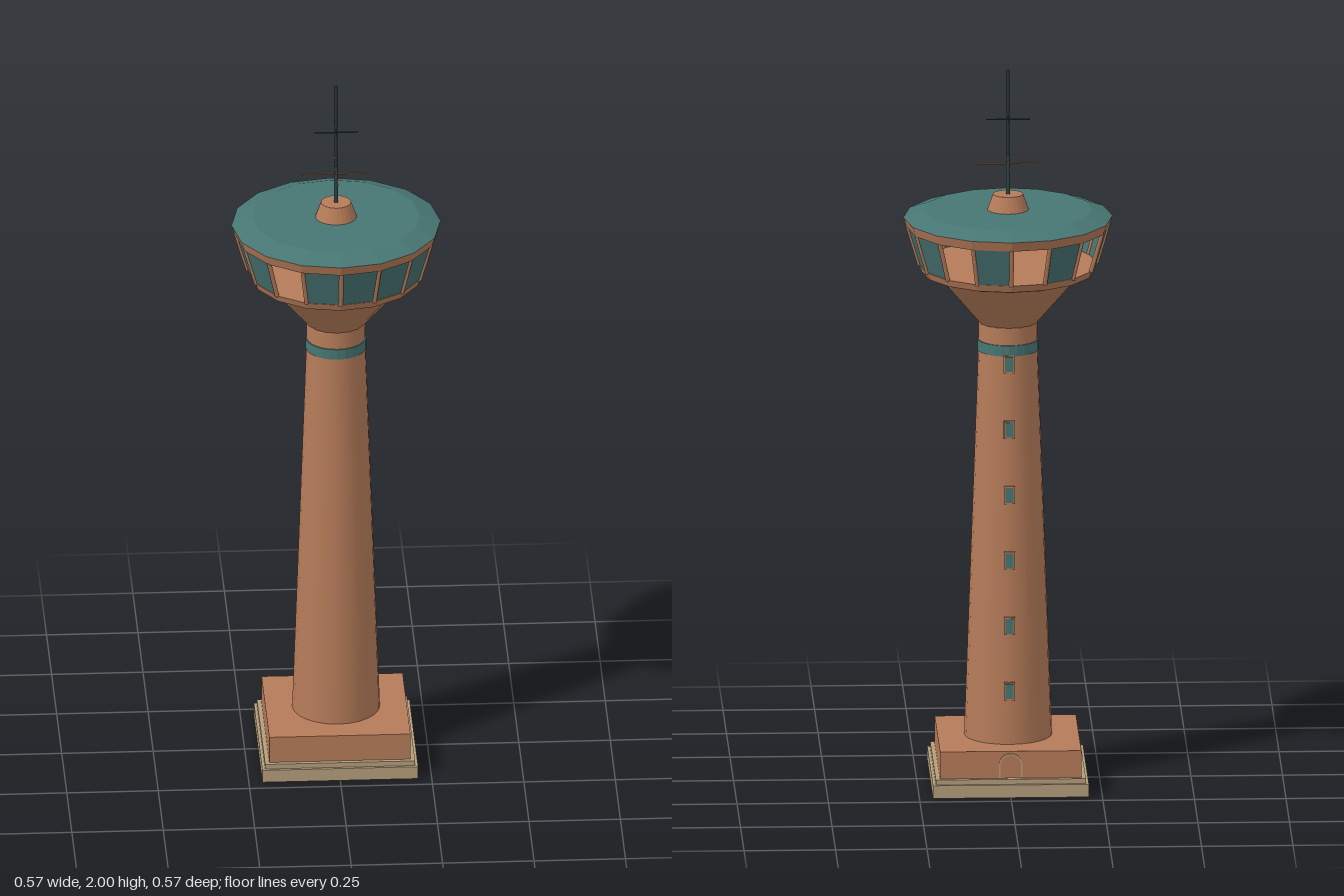
import * as THREE from 'three';

const SIDES = 16;

export function createModel() {
  const group = new THREE.Group();
  const make = (name, color) => {
    const m = new THREE.MeshStandardMaterial({ color });
    m.name = name;
    return m;
  };
  const copper = make('copper', 0xb57b59);
  const teal = make('teal', 0x477673);
  const glass = make('glass teal', 0x45706f);
  glass.side = THREE.DoubleSide;
  const stone = make('tan stone', 0xb39d7b);
  const dark = make('dark metal', 0x2c4548);

  const add = (name, geometry, material, x = 0, y = 0, z = 0) => {
    const mesh = new THREE.Mesh(geometry, material);
    mesh.name = name;
    mesh.position.set(x, y, z);
    group.add(mesh);
    return mesh;
  };
  // turned part from [radius, height] points, faceted or smooth
  const turned = (name, points, material, sides = SIDES, flat = true) => {
    let g = new THREE.LatheGeometry(points.map(p => new THREE.Vector2(...p)), sides);
    if (flat) {
      g = g.toNonIndexed();
      g.computeVertexNormals();
    }
    return add(name, g, material);
  };
  const block = (name, half, y0, y1, material) =>
    add(name, new THREE.BoxGeometry(half * 2, y1 - y0, half * 2), material, 0, (y0 + y1) / 2, 0);
  // thin rod between two points
  const rod = (name, a, b, radius, material, sides = 6) => {
    const d = b.clone().sub(a);
    const mesh = add(name, new THREE.CylinderGeometry(radius, radius, d.length(), sides), material);
    mesh.position.copy(a).add(b).multiplyScalar(0.5);
    mesh.quaternion.setFromUnitVectors(new THREE.Vector3(0, 1, 0), d.normalize());
    return mesh;
  };
  const polar = (angle, r, y) => new THREE.Vector3(Math.sin(angle) * r, y, Math.cos(angle) * r);

  // stepped base
  block('plinth', 0.213, 0, 0.036, stone);
  block('plinthStep', 0.205, 0.036, 0.05, stone);
  block('baseBlock', 0.193, 0.05, 0.126, copper);

  // arched door on the back of the base
  const arch = (w, h) => {
    const s = new THREE.Shape();
    s.moveTo(-w, 0);
    s.lineTo(w, 0);
    s.lineTo(w, h);
    s.absarc(0, h, w, 0, Math.PI, false);
    s.lineTo(-w, 0);
    return s;
  };
  const frame = arch(0.032, 0.036);
  frame.holes.push(arch(0.028, 0.036));
  const plate = { depth: 0.004, bevelEnabled: false, curveSegments: 10 };
  add('doorFrame', new THREE.ExtrudeGeometry(frame, plate), stone, 0, 0.052, -0.196);
  add('door', new THREE.ExtrudeGeometry(arch(0.028, 0.036), plate), copper, 0, 0.052, -0.195);

  // tapering shaft with collar
  turned('shaft', [[0.12, 0.126], [0.081, 1.22], [0.08, 1.295]], copper, 24, false);
  turned('collarBand', [[0.079, 1.212], [0.084, 1.212], [0.084, 1.242], [0.079, 1.242]], teal, 24);

  // slit windows up the back of the shaft
  for (let i = 0; i < 6; i++) {
    const y = 0.275 + i * 0.183;
    const r = 0.12 - (y - 0.126) * 0.0357;
    add('slitFrame', new THREE.BoxGeometry(0.03, 0.05, 0.01), copper, 0, y, -r + 0.001);
    add('slitWindow', new THREE.BoxGeometry(0.022, 0.042, 0.012), teal, 0, y, -r);
  }

  // flared neck, sill and cabin floor
  turned('neck', [[0.08, 1.29], [0.19, 1.418]], copper);
  turned('sill', [[0.19, 1.418], [0.236, 1.433], [0.244, 1.453], [0, 1.453]], copper);

  // slanted glazing with open bays, and mullions on the corners
  const openBays = [6, 8, 10, 14];
  const step = (Math.PI * 2) / SIDES;
  for (let i = 0; i < SIDES; i++) {
    const a = i * step, b = a + step;
    rod('mullion', polar(a, 0.241, 1.45), polar(a, 0.274, 1.562), 0.006, copper, 4);
    if (openBays.includes(i)) continue;
    const corners = [polar(a, 0.242, 1.453), polar(b, 0.242, 1.453), polar(b, 0.274, 1.56), polar(a, 0.274, 1.56)];
    const g = new THREE.BufferGeometry().setFromPoints(corners);
    g.setIndex([0, 1, 2, 0, 2, 3]);
    g.computeVertexNormals();
    add('windowPane', g, glass);
  }

  // rim, ceiling and shallow roof
  turned('rim', [[0.255, 1.559], [0.277, 1.559], [0.286, 1.586]], copper);
  turned('ceiling', [[0, 1.568], [0.276, 1.56]], teal);
  turned('roof', [[0.286, 1.586], [0.23, 1.606], [0, 1.607]], teal);

  // mast hub
  turned('mastHub', [[0, 1.565], [0.057, 1.565], [0.057, 1.606], [0.041, 1.65], [0, 1.65]], copper, 24);

  // mast and its crossed aerials
  const v = (x, y, z) => new THREE.Vector3(x, y, z);
  rod('lowerMast', v(0, 1.65, 0), v(0, 1.76, 0), 0.006, dark, 8);
  rod('upperMast', v(0, 1.76, 0), v(0, 2, 0), 0.0035, dark, 8);
  for (const [y, half, material] of [[1.735, 0.092, copper], [1.86, 0.06, dark]]) {
    rod('aerialAcross', v(-half, y, 0), v(half, y, 0), 0.002, material);
    rod('aerialDeep', v(0, y + 0.008, -half), v(0, y + 0.008, half), 0.002, material);
  }
  return group;
}
